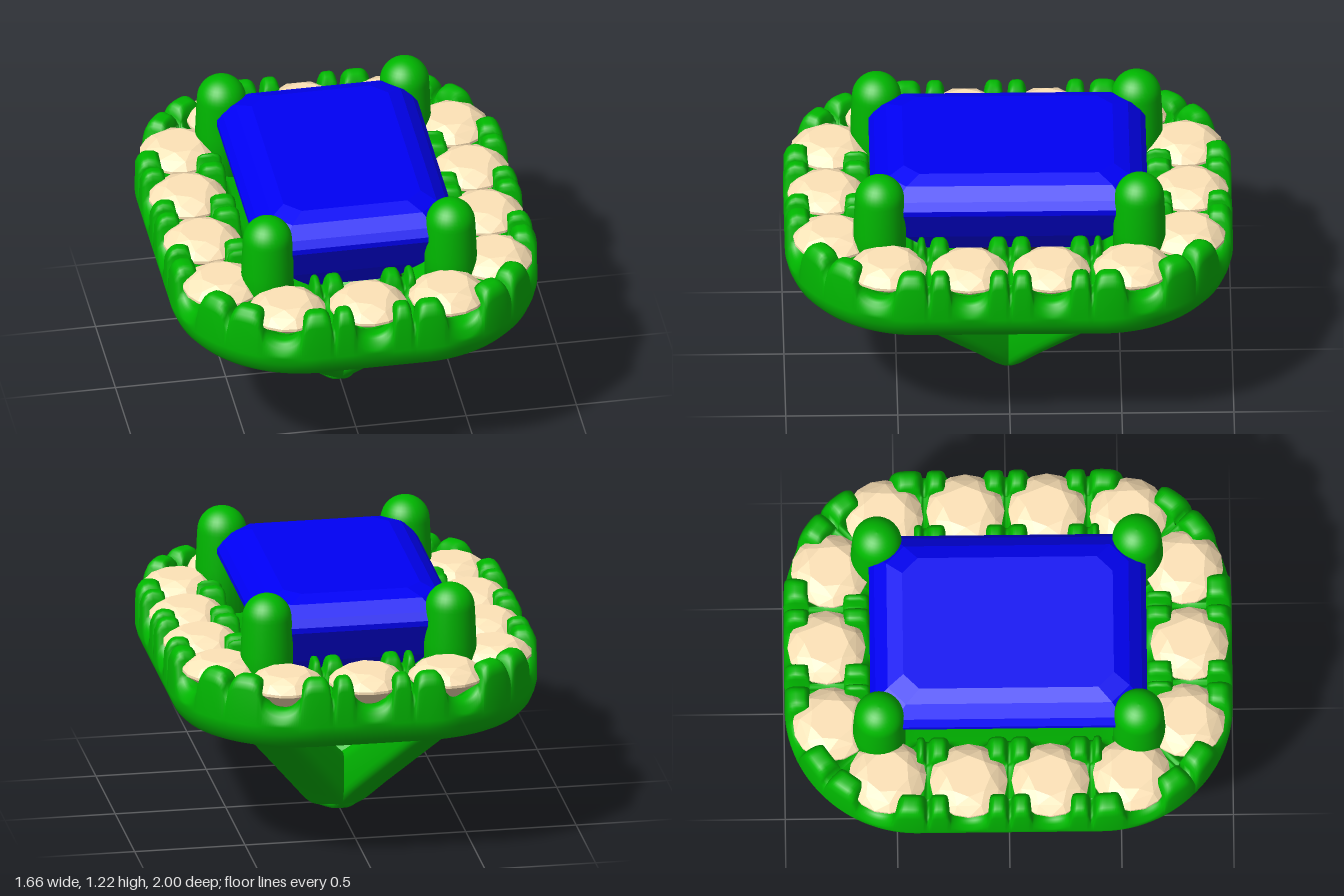
import * as THREE from 'three';
import { ConvexGeometry } from 'three/addons/geometries/ConvexGeometry.js';

const metal = new THREE.MeshStandardMaterial({ color: 0x00b800 });
const blue = new THREE.MeshStandardMaterial({ color: 0x0000f5 });
const cream = new THREE.MeshStandardMaterial({ color: 0xffe4b8 });

const STONES = 14;
const CORE_X = 0.24, CORE_Z = 0.41; // rectangle the halo is offset from
const MID = 0.4;                    // offset of the stone centre line
const ARC = MID * Math.PI / 2;
const PERIMETER = 4 * (CORE_X + CORE_Z) + 4 * ARC;
const PITCH = PERIMETER / STONES;

function addMesh(parent, name, geometry, material) {
  const mesh = new THREE.Mesh(geometry, material);
  mesh.name = name;
  parent.add(mesh);
  return mesh;
}

// Smooth skin over closed cross-section loops of equal length
function loft(rows, closed) {
  const n = rows[0].length, index = [];
  const last = closed ? rows.length : rows.length - 1;
  for (let i = 0; i < last; i++) {
    const k = (i + 1) % rows.length;
    for (let j = 0; j < n; j++) {
      const m = (j + 1) % n;
      const a = i * n + j, b = k * n + j, c = k * n + m, d = i * n + m;
      index.push(a, b, c, a, c, d);
    }
  }
  const geometry = new THREE.BufferGeometry();
  geometry.setAttribute('position', new THREE.Float32BufferAttribute(rows.flat(2), 3));
  geometry.setIndex(index);
  geometry.computeVertexNormals();
  return geometry;
}

// Core point and outward normal at distance s along the halo, starting at the front centre
function haloAt(distance) {
  const parts = [
    [CORE_X, 0, CORE_Z, 1, 0, 0], [ARC, CORE_X, CORE_Z, 0, 0, 0],
    [2 * CORE_Z, CORE_X, CORE_Z, 0, -1, 1], [ARC, CORE_X, -CORE_Z, 0, 0, 1],
    [2 * CORE_X, CORE_X, -CORE_Z, -1, 0, 2], [ARC, -CORE_X, -CORE_Z, 0, 0, 2],
    [2 * CORE_Z, -CORE_X, -CORE_Z, 0, 1, 3], [ARC, -CORE_X, CORE_Z, 0, 0, 3],
    [CORE_X, -CORE_X, CORE_Z, 1, 0, 4],
  ];
  let p = 0, s = (distance + PERIMETER) % PERIMETER;
  while (p < parts.length - 1 && s > parts[p][0]) s -= parts[p++][0];
  const [, x, z, dx, dz, turn] = parts[p];
  const straight = dx !== 0 || dz !== 0;
  const angle = turn * Math.PI / 2 + (straight ? 0 : s / MID);
  return { x: x + dx * s, z: z + dz * s, nx: Math.sin(angle), nz: Math.cos(angle) };
}

// Straight distance between two halo stations at offset t
function gap(p, q, t) {
  return Math.hypot(p.x - q.x + t * (p.nx - q.nx), p.z - q.z + t * (p.nz - q.nz));
}

// Rim height: a U-shaped scallop at each stone, then a bead, then a narrow groove
function rimHeight(d, half, groove) {
  if (d < 0.088) return 0.88 - Math.sqrt(0.0081 - d * d);
  const end = half - 0.008;
  if (d > end) return groove;
  const u = (2 * d - 0.088 - end) / (end - 0.088);
  return 0.937 - 0.05 * Math.pow(u, 4);
}

function haloGeometry() {
  const rows = [], steps = STONES * 48;
  for (let i = 0; i < steps; i++) {
    const s = i / steps * PERIMETER;
    const q = haloAt(s);
    const nearest = Math.round(s / PITCH) * PITCH;
    const stone = haloAt(nearest);
    const between = haloAt(nearest + (s < nearest ? -0.5 : 0.5) * PITCH);
    const h = rimHeight(gap(q, stone, 0.54), gap(between, stone, 0.54), 0.84);
    const g = rimHeight(gap(q, stone, 0.27), gap(between, stone, 0.27), 0.88);
    const rise = 0.77 + 0.08 * THREE.MathUtils.smoothstep(Math.abs(s - nearest), 0.1, 0.18);
    const floor = Math.min(h - 0.01, g - 0.01, rise);
    // offset from the core and height, from the lower opening around to the gem seat
    const profile = [
      [0.015, 0.61], [0.03, 0.6], [0.25, 0.6], [0.5, 0.6], [0.535, 0.61], [0.562, 0.64], [0.58, 0.68],
      [0.59, 0.72], [0.588, h - 0.055], [0.575, h - 0.025], [0.56, h - 0.008], [0.54, h],
      [0.505, h - 0.003], [0.485, h - 0.015], [0.478, (h + floor) / 2], [0.475, floor],
      [0.4, floor], [0.325, floor], [0.322, (g + floor) / 2], [0.315, g - 0.015], [0.295, g - 0.003],
      [0.25, g], [0.225, g - 0.008], [0.21, g - 0.025], [0.2, 0.765], [0.17, 0.755],
      [0.03, 0.7], [0.015, 0.69],
    ];
    rows.push(profile.map(([t, y]) => [q.x + q.nx * t, y, q.z + q.nz * t]));
  }
  return loft(rows, true);
}

// Rounded bar running from the foot up to one corner
function strutGeometry(sx, sz) {
  const dx = 0.61 * sx, dz = 0.79 * sz, rows = [];
  // height, distance from the axis, half length, half width
  const sections = [
    [0, 0, 0, 0], [0, 0, 0.075, 0.085], [0.008, 0, 0.1, 0.105], [0.03, 0.01, 0.118, 0.117],
    [0.13, 0.098, 0.142, 0.128], [0.28, 0.258, 0.16, 0.13], [0.43, 0.445, 0.15, 0.13],
    [0.52, 0.57, 0.155, 0.13], [0.57, 0.65, 0.17, 0.135], [0.61, 0.73, 0.2, 0.15],
    [0.7, 0.71, 0.13, 0.12], [0.7, 0.71, 0, 0],
  ];
  const soft = (v) => Math.sign(v) * Math.pow(Math.abs(v), 0.5);
  for (const [y, c, a, w] of sections) {
    const loop = [];
    for (let j = 0; j < 32; j++) {
      const angle = j / 32 * Math.PI * 2;
      const u = c + a * soft(Math.cos(angle)), v = w * soft(Math.sin(angle));
      loop.push([u * dx - v * dz, y, u * dz + v * dx]);
    }
    rows.push(loop);
  }
  return loft(rows, false);
}

// Step-cut gem: stacked rectangles with cut corners
function centreGemGeometry() {
  const steps = [ // y, half x, half z, corner cut
    [1.165, 0.31, 0.47, 0.07], [1.14, 0.375, 0.54, 0.08], [1.09, 0.43, 0.595, 0.09],
    [1.055, 0.455, 0.618, 0.1], [1.03, 0.455, 0.618, 0.1], [0.87, 0.375, 0.54, 0.08],
    [0.72, 0.24, 0.41, 0.05], [0.58, 0.005, 0.18, 0.003],
  ];
  const points = [];
  for (const [y, x, z, c] of steps)
    for (const sx of [-1, 1]) for (const sz of [-1, 1])
      points.push(new THREE.Vector3(sx * (x - c), y, sz * z), new THREE.Vector3(sx * x, y, sz * (z - c)));
  return new ConvexGeometry(points);
}

// Round brilliant: table, kite ring, girdle and point
function smallStoneGeometry() {
  const points = [new THREE.Vector3(0, -0.13, 0)];
  const ring = (n, r, y, shift) => {
    for (let i = 0; i < n; i++) {
      const a = (i + shift) / n * Math.PI * 2;
      points.push(new THREE.Vector3(r * Math.cos(a), y, r * Math.sin(a)));
    }
  };
  ring(8, 0.098, 0.063, 0);
  ring(8, 0.143, 0.04, 0.5);
  ring(16, 0.174, 0.006, 0);
  ring(16, 0.174, -0.006, 0);
  return new ConvexGeometry(points);
}

function prongGeometry() {
  const profile = [[0, 0.65], [0.118, 0.65], [0.117, 0.95], [0.112, 1.07]];
  for (let i = 0; i <= 10; i++) {
    const a = i / 10 * Math.PI / 2;
    profile.push([0.11 * Math.cos(a), 1.105 + 0.11 * Math.sin(a)]);
  }
  return new THREE.LatheGeometry(profile.map(([r, y]) => new THREE.Vector2(r, y)), 32);
}

export function createModel() {
  const model = new THREE.Group();
  model.name = 'haloSetting';

  addMesh(model, 'haloFrame', haloGeometry(), metal);
  addMesh(model, 'centreGem', centreGemGeometry(), blue);

  // Corner prongs with the struts below them
  const prong = prongGeometry();
  for (const sx of [-1, 1]) for (const sz of [-1, 1]) {
    addMesh(model, 'cornerProng', prong, metal).position.set(sx * 0.415, 0, sz * 0.58);
    addMesh(model, 'strut', strutGeometry(sx, sz), metal);
  }

  // Ring of small stones
  const stones = new THREE.Group();
  stones.name = 'haloStones';
  const stone = smallStoneGeometry();
  for (let i = 0; i < STONES; i++) {
    const q = haloAt(i * PITCH);
    const mesh = addMesh(stones, 'haloStone', stone, cream);
    mesh.position.set(q.x + q.nx * MID, 0.86, q.z + q.nz * MID);
    mesh.rotation.y = Math.atan2(q.nx, q.nz);
  }
  model.add(stones);
  return model;
}
